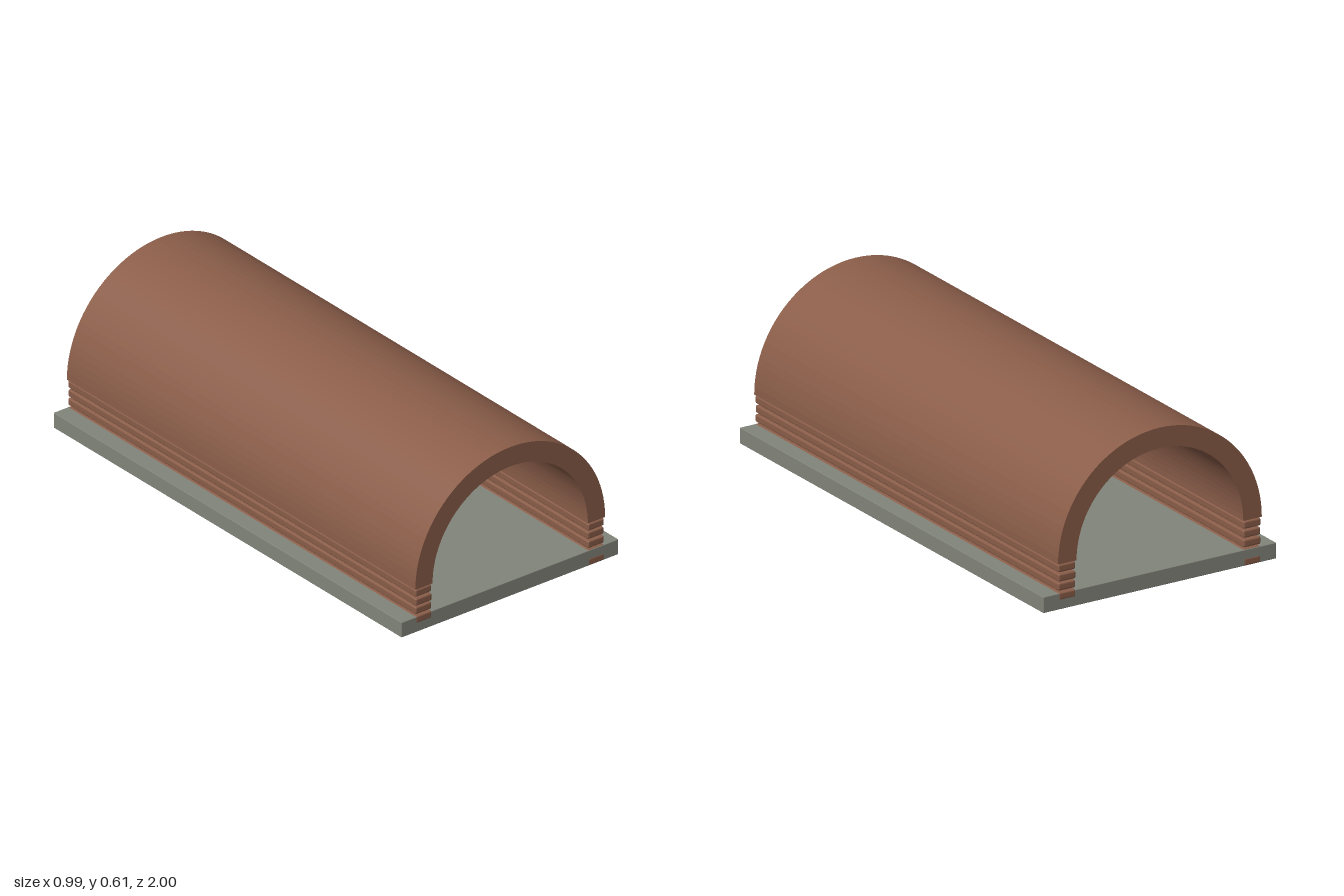
import * as THREE from 'three';
import { RoundedBoxGeometry } from 'three/addons/geometries/RoundedBoxGeometry.js';

const brick = new THREE.MeshStandardMaterial({ color: 0x8a5d49, flatShading: true });
const stone = new THREE.MeshStandardMaterial({ color: 0x82857a, flatShading: true });

function addPart(parent, name, geometry, material, x, y, z) {
  const mesh = new THREE.Mesh(geometry, material);
  mesh.name = name;
  mesh.position.set(x, y, z);
  parent.add(mesh);
}

export function createModel() {
  const model = new THREE.Group();
  model.name = 'vaultedTunnel';

  // Floor slab with slightly softened edges
  const floor = new RoundedBoxGeometry(0.994, 0.061, 1.998, 1, 0.002);
  addPart(model, 'floorSlab', floor, stone, 0, 0.0315, 0);

  // Low side walls: five rounded brick courses with open joints
  const course = new RoundedBoxGeometry(0.073, 0.029, 1.998, 2, 0.006);
  for (const side of [-1, 1]) {
    const wall = new THREE.Group();
    wall.name = side > 0 ? 'leftWall' : 'rightWall';
    for (let i = 0; i < 5; i++) {
      // alternate courses are staggered a hair lengthwise
      const shift = 0.001 * side * (i % 2 ? -1 : 1);
      addPart(wall, 'brickCourse', course, brick, side * 0.395, 0.0145 + i * 0.0355, shift);
    }
    model.add(wall);
  }

  // Barrel vault: half ring run along the full length
  const ring = new THREE.Shape();
  ring.absarc(0, 0, 0.435, 0, Math.PI, false);
  ring.absarc(0, 0, 0.356, Math.PI, 0, true);
  ring.closePath();
  const vault = new THREE.ExtrudeGeometry(ring, { depth: 2, bevelEnabled: false, curveSegments: 24 });
  addPart(model, 'barrelVault', vault, brick, 0, 0.175, -1);

  return model;
}
